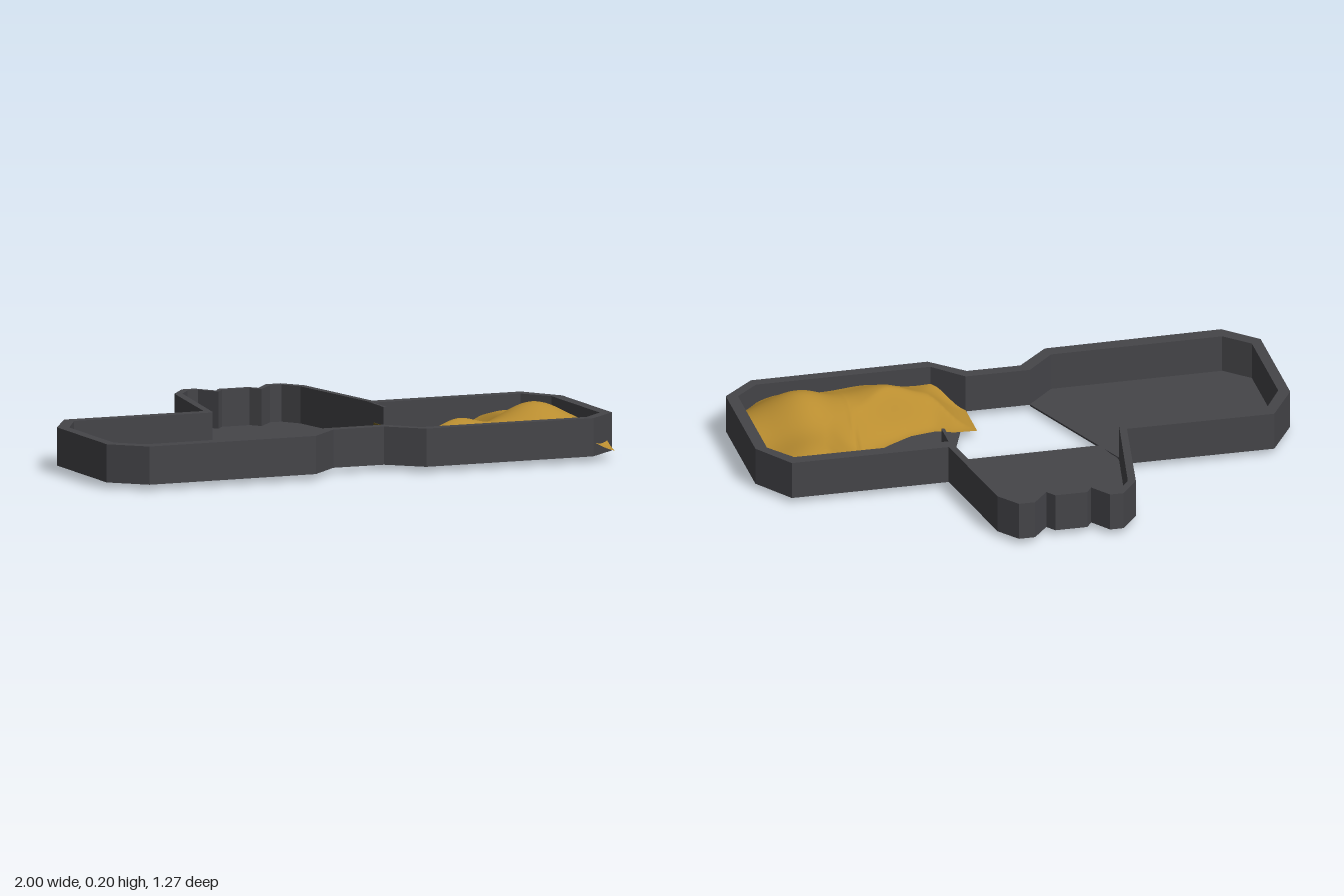
import * as THREE from 'three';

export function createModel() {
  const model = new THREE.Group();
  const plastic = new THREE.MeshStandardMaterial({ name: 'dark grey plastic', color: 0x454549 });
  const sandMat = new THREE.MeshStandardMaterial({ name: 'golden sand', color: 0xb98d30, side: THREE.DoubleSide });
  const olive = new THREE.MeshStandardMaterial({ name: 'dark olive', color: 0x6a5a20 });

  const add = (name, geometry, material) => {
    const mesh = new THREE.Mesh(geometry, material);
    mesh.name = name;
    model.add(mesh);
    return mesh;
  };
  // upright slab from an [x, z] outline
  const slab = (outline, y0, y1, hole) => {
    const pts = (list) => list.map(([x, z]) => new THREE.Vector2(x, -z));
    const shape = new THREE.Shape(pts(outline));
    if (hole) shape.holes.push(new THREE.Path(pts(hole)));
    return new THREE.ExtrudeGeometry(shape, { depth: y1 - y0, bevelEnabled: false })
      .rotateX(-Math.PI / 2).translate(0, y0, 0);
  };

  // one continuous rim around the three trays
  const outer = [
    [-0.9, -0.11], [-1, 0.06], [-1, 0.52], [-0.88, 0.635], [-0.22, 0.625], [-0.1, 0.505],
    [0.1, 0.505], [0.22, 0.615], [0.88, 0.61], [1, 0.5], [1, 0.04], [0.9, -0.11], [0.315, -0.11],
    [0.24, -0.56], [0.18, -0.64], [0.12, -0.64], [0.06, -0.565], [0.035, -0.6], [-0.085, -0.6],
    [-0.107, -0.565], [-0.16, -0.64], [-0.21, -0.64], [-0.278, -0.55], [-0.35, -0.11],
  ];
  const leftInner = [[-0.335, -0.062], [-0.88, -0.062], [-0.96, 0.08], [-0.96, 0.49], [-0.87, 0.575], [-0.23, 0.57], [-0.125, 0.46]];
  const rightInner = [[0.115, 0.46], [0.22, 0.57], [0.87, 0.57], [0.957, 0.49], [0.957, 0.04], [0.88, -0.062], [0.305, -0.062]];
  const backInner = [
    [0.295, -0.08], [0.215, -0.54], [0.17, -0.61], [0.125, -0.61], [0.06, -0.535], [0.03, -0.575],
    [-0.08, -0.575], [-0.11, -0.535], [-0.16, -0.61], [-0.2, -0.61], [-0.25, -0.54], [-0.328, -0.08],
  ];
  add('rimWall', slab(outer, 0.02, 0.16, [...leftInner, ...rightInner, ...backInner]), plastic);

  // tray floors, open towards the middle
  add('rightTrayFloor', slab(leftInner, 0.015, 0.022), plastic);
  add('leftTrayFloor', slab(rightInner, 0.015, 0.022), plastic);
  add('backTrayFloor', slab([[0.265, 0.053], ...backInner, [-0.288, 0.058]], 0.016, 0.024), plastic);

  // small feet under the inner corners
  for (const x of [-0.312, 0.29]) {
    add('foot', new THREE.BoxGeometry(0.05, 0.018, 0.12).translate(x, 0.009, 0.01), plastic);
  }
  // short divider between the filled tray and the back tray
  add('divider', new THREE.BoxGeometry(0.012, 0.138, 0.14).translate(0.298, 0.09, -0.02), plastic);
  add('dividerStain', new THREE.BoxGeometry(0.016, 0.06, 0.09).translate(0.298, 0.06, 0.004), olive);

  // heap of sand: height field between a curved inner edge and the front wall
  const edge = [[0.112, 0.46], [0.115, 0.28], [0.2, 0.285], [0.26, 0.31], [0.36, 0.29], [0.46, 0.23], [0.55, 0.16], [0.575, 0.08], [0.58, -0.062]];
  const nearEdge = (x, z) => {
    let best = 9;
    for (let i = 1; i < edge.length; i++) {
      const [ax, az] = edge[i - 1], dx = edge[i][0] - ax, dz = edge[i][1] - az;
      const t = THREE.MathUtils.clamp(((x - ax) * dx + (z - az) * dz) / (dx * dx + dz * dz), 0, 1);
      best = Math.min(best, Math.hypot(x - ax - t * dx, z - az - t * dz));
    }
    return best;
  };
  const bump = (x, z, cx, cz, r) => Math.exp(-((x - cx) ** 2 + (z - cz) ** 2) / (r * r));
  const height = (x, z) => {
    const rise = THREE.MathUtils.smoothstep(nearEdge(x, z), 0, 0.16);
    const y = 0.025 + rise * (0.06 + 0.008 * Math.sin(x * 17 + z * 9)
      + 0.117 * bump(x, z, 0.76, 0.39, 0.16) + 0.085 * bump(x, z, 0.42, 0.43, 0.13)
      + 0.03 * bump(x, z, 0.75, 0.08, 0.15));
    return y - 0.055 * bump(x, z, 0.97, 0.6, 0.12);
  };
  const along = (pts, x) => {
    for (let i = 1; i < pts.length; i++) {
      const [ax, az] = pts[i - 1], [bx, bz] = pts[i];
      if (x <= bx) return az + ((bz - az) * (x - ax)) / (bx - ax);
    }
    return pts[pts.length - 1][1];
  };
  const backLine = [...edge.slice(1), [0.87, -0.062], [0.965, 0.045]];
  const frontLine = [[0.112, 0.46], [0.22, 0.575], [0.86, 0.58], [0.89, 0.6], [0.97, 0.6]];
  const nx = 60, nz = 30, x0 = 0.115, x1 = 0.97;
  const sand = new THREE.PlaneGeometry(1, 1, nx, nz);
  const pos = sand.attributes.position;
  for (let i = 0; i < pos.count; i++) {
    const x = x0 + (x1 - x0) * ((i % (nx + 1)) / nx);
    const v = Math.floor(i / (nx + 1)) / nz;
    const z = THREE.MathUtils.lerp(along(backLine, x), along(frontLine, x), v);
    pos.setXYZ(i, x, height(x, z), z);
  }
  sand.computeVertexNormals();
  add('sandHeap', sand, sandMat);

  return model;
}
